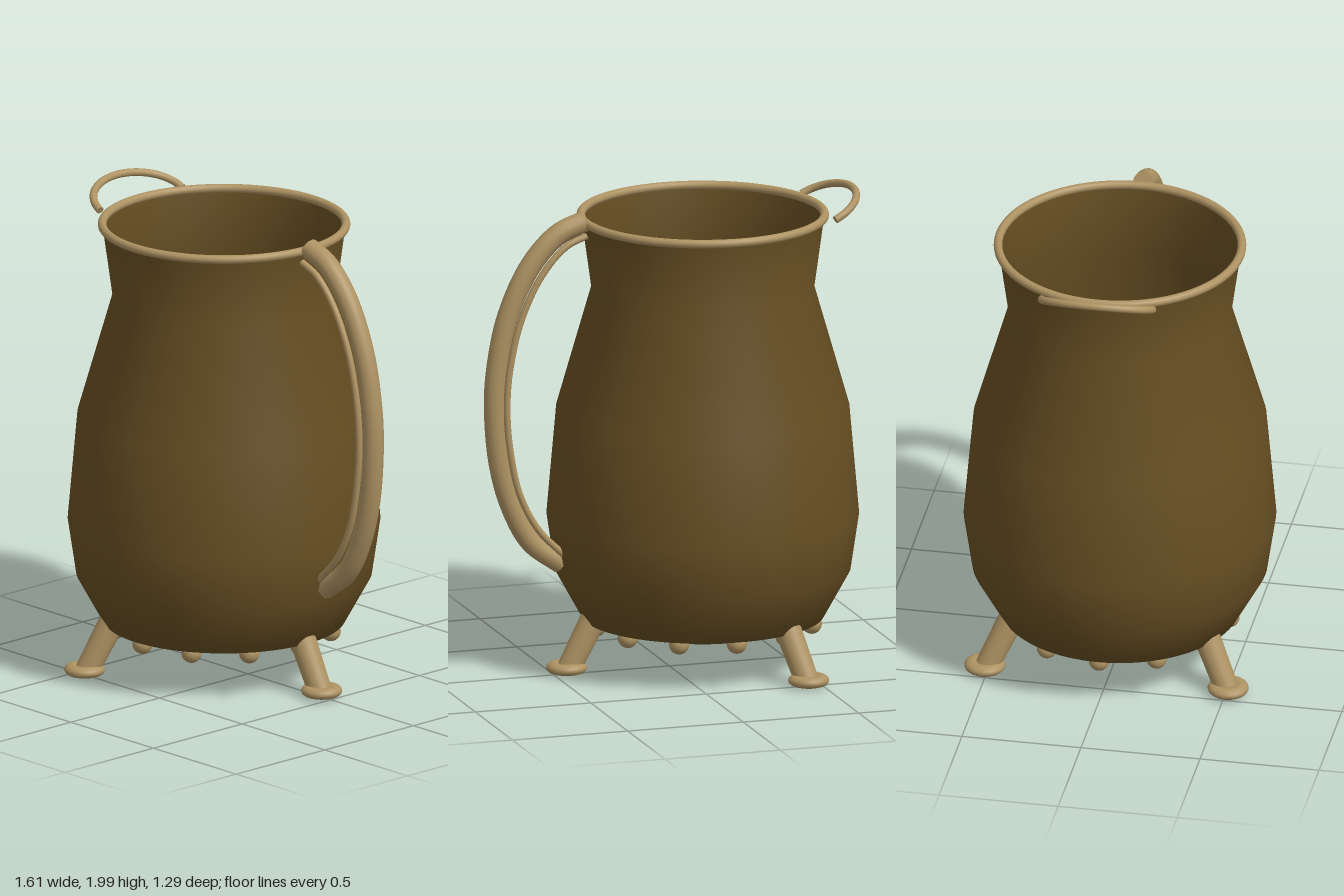
import * as THREE from 'three';

const V = (x, y, z = 0) => new THREE.Vector3(x, y, z);

export function createModel() {
  const model = new THREE.Group();
  model.name = 'footedJug';

  const darkBrass = new THREE.MeshStandardMaterial({ color: 0x664e22, side: THREE.DoubleSide });
  darkBrass.name = 'dark brass';
  const paleBrass = new THREE.MeshStandardMaterial({ color: 0xad9262, side: THREE.DoubleSide });
  paleBrass.name = 'pale brass';

  const add = (parent, name, geometry, material) => {
    const mesh = new THREE.Mesh(geometry, material);
    mesh.name = name;
    parent.add(mesh);
    return mesh;
  };

  // Round tube with closed ends along a smooth path
  const addTube = (parent, name, points, radius) => {
    const group = new THREE.Group();
    group.name = name;
    parent.add(group);
    const curve = new THREE.CatmullRomCurve3(points);
    add(group, name + 'Tube', new THREE.TubeGeometry(curve, 64, radius, 16), paleBrass);
    [0, 1].forEach((t) => {
      const cap = add(group, name + 'End', new THREE.CircleGeometry(radius, 16), paleBrass);
      cap.position.copy(curve.getPointAt(t));
      cap.quaternion.setFromUnitVectors(V(0, 0, 1), curve.getTangentAt(t).multiplyScalar(t ? 1 : -1));
    });
    return group;
  };

  // Vessel, off centre to leave room for the handle
  const vessel = new THREE.Group();
  vessel.name = 'vessel';
  vessel.position.x = -0.145;
  model.add(vessel);

  const profile = [
    [0, 0.17], [0.31, 0.17], [0.5, 0.22], [0.61, 0.42], [0.645, 0.655],
    [0.605, 1.11], [0.46, 1.615], [0.502, 1.92],
  ].map(([r, y]) => new THREE.Vector2(r, y));
  add(vessel, 'body', new THREE.LatheGeometry(profile, 96), darkBrass);

  const rim = add(vessel, 'rim', new THREE.TorusGeometry(0.503, 0.018, 16, 96), paleBrass);
  rim.rotation.x = Math.PI / 2;
  rim.position.y = 1.92;

  // Ring of studs round the base
  const studGeometry = new THREE.SphereGeometry(0.042, 20, 14);
  for (let i = 0; i < 12; i++) {
    const a = (i * Math.PI) / 6;
    add(vessel, 'stud', studGeometry, paleBrass)
      .position.set(0.46 * Math.cos(a), 0.205, 0.46 * Math.sin(a));
  }

  // Three splayed legs with ring feet
  const top = V(0.475, 0.235), bottom = V(0.58, 0.035);
  const direction = top.clone().sub(bottom);
  const legGeometry = new THREE.CylinderGeometry(0.055, 0.05, direction.length(), 24);
  const footGeometry = new THREE.TorusGeometry(0.052, 0.033, 14, 32);
  footGeometry.rotateX(Math.PI / 2).scale(1, 0.7, 1);
  for (let i = 0; i < 3; i++) {
    const leg = new THREE.Group();
    leg.name = 'leg';
    leg.rotation.y = (i * Math.PI * 2) / 3;
    vessel.add(leg);
    const shank = add(leg, 'shank', legGeometry, paleBrass);
    shank.position.copy(top).add(bottom).multiplyScalar(0.5);
    shank.quaternion.setFromUnitVectors(V(0, 1, 0), direction.clone().normalize());
    add(leg, 'foot', footGeometry, paleBrass).position.set(0.59, 0.04, 0);
  }

  // Main handle bow
  addTube(model, 'handle', [
    V(0.37, 1.93), V(0.48, 1.885), V(0.6, 1.76), V(0.7, 1.55), V(0.747, 1.33), V(0.757, 1.17),
    V(0.737, 0.93), V(0.685, 0.74), V(0.6, 0.585), V(0.47, 0.485),
  ], 0.044);

  // Pair of thin wires inside the handle
  [-1, 1].forEach((side) => {
    addTube(model, 'handleWire', [
      [0.37, 1.878], [0.46, 1.838], [0.56, 1.73], [0.65, 1.55], [0.7, 1.35], [0.715, 1.18],
      [0.703, 1.0], [0.66, 0.8], [0.58, 0.645], [0.46, 0.52],
    ].map(([x, y]) => V(x, y, side * 0.04)), 0.014);
  });

  // Raised lip loop opposite the handle
  const loop = [];
  for (let i = 0; i <= 12; i++) {
    const a = (i * Math.PI) / 12, s = Math.sin(a);
    loop.push(V(-0.645 - 0.147 * s, 1.915 + 0.073 * s, 0.233 * Math.cos(a)));
  }
  addTube(model, 'lipLoop', loop, 0.016);

  return model;
}
